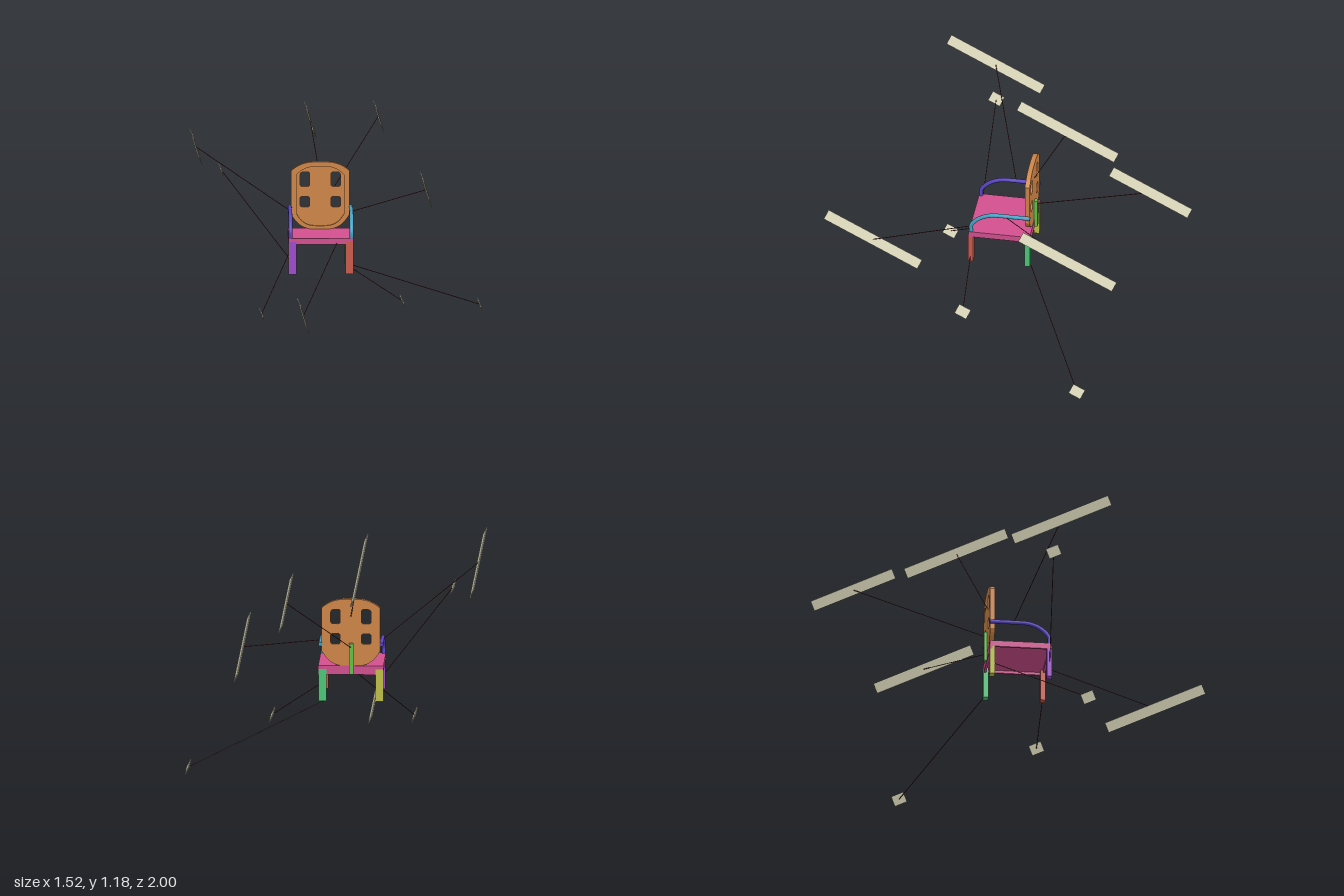
import * as THREE from 'three';

const CX = -0.082; // chair centre line
const V = (a) => new THREE.Vector3(...a);

function add(parent, name, geometry, color) {
  const mesh = new THREE.Mesh(geometry, new THREE.MeshStandardMaterial({ color }));
  mesh.name = name;
  parent.add(mesh);
  return mesh;
}

// Box given by its low and high corners
function block(parent, name, lo, hi, color) {
  const size = hi.map((h, i) => h - lo[i]);
  const mesh = add(parent, name, new THREE.BoxGeometry(...size), color);
  mesh.position.set(...hi.map((h, i) => (h + lo[i]) / 2));
  return mesh;
}

// Straight sides with bowed top and bottom; half width, side heights, bow tips
function backOutline(Type, w, bottom, low, high, top) {
  const s = new Type();
  s.moveTo(-w, low);
  s.bezierCurveTo(-w * 0.72, bottom, -w * 0.4, bottom, 0, bottom);
  s.bezierCurveTo(w * 0.4, bottom, w * 0.72, bottom, w, low);
  s.lineTo(w, high);
  s.bezierCurveTo(w * 0.65, top, w * 0.35, top, 0, top);
  s.bezierCurveTo(-w * 0.35, top, -w * 0.65, top, -w, high);
  s.closePath();
  return s;
}

// Rounded window; the outer top corner is cut more deeply
function windowHole(side, y0, y1, cut) {
  const [a, b, r] = [0.055 * side, 0.104 * side, 0.012];
  const p = new THREE.Path();
  p.moveTo(a + r * side, y0);
  p.lineTo(b - r * side, y0);
  p.quadraticCurveTo(b, y0, b, y0 + r);
  p.lineTo(b, y1 - cut);
  p.quadraticCurveTo(b, y1, b - cut * side, y1);
  p.lineTo(a + r * side, y1);
  p.quadraticCurveTo(a, y1, a, y1 - r);
  p.lineTo(a, y0 + r);
  p.quadraticCurveTo(a, y0, a + r * side, y0);
  return p;
}

function buildBack(parent) {
  const back = new THREE.Group();
  back.name = 'back';
  back.position.set(CX, 0, -0.122);
  parent.add(back);
  const color = 0xd08648;
  const extrude = (s, depth) => new THREE.ExtrudeGeometry(s, { depth, bevelEnabled: false, curveSegments: 12 });
  // recessed panel with four windows
  const panel = backOutline(THREE.Shape, 0.151, 0.5, 0.58, 0.805, 0.852);
  for (const side of [-1, 1]) {
    panel.holes.push(windowHole(side, 0.722, 0.798, 0.02), windowHole(side, 0.615, 0.67, 0.012));
  }
  add(back, 'backPanel', extrude(panel, 0.015), color);
  // raised rim
  const rim = backOutline(THREE.Shape, 0.151, 0.5, 0.58, 0.805, 0.852);
  rim.holes.push(backOutline(THREE.Path, 0.122, 0.518, 0.58, 0.785, 0.828));
  add(back, 'backRim', extrude(rim, 0.025), color);
}

function buildSeat(parent) {
  const seat = new THREE.Group();
  seat.name = 'seat';
  parent.add(seat);
  const color = 0xd2508f;
  const [x0, x1, z0, z1, t] = [-0.25, 0.086, -0.124, 0.194, 0.012];
  block(seat, 'seatTop', [x0, 0.484, z0], [x1, 0.502, z1], color);
  // hollow underside framed by aprons, deeper at the rear
  block(seat, 'frontApron', [x0, 0.47, z1 - t], [x1, 0.484, z1], color);
  block(seat, 'rearApron', [x0, 0.455, z0], [x1, 0.484, z0 + t], color);
  block(seat, 'rightApron', [x0, 0.47, z0 + t], [x0 + t, 0.484, z1 - t], color);
  block(seat, 'leftApron', [x1 - t, 0.47, z0 + t], [x1, 0.484, z1 - t], color);
}

function buildArm(parent, name, x, color) {
  const path = new THREE.CurvePath();
  const points = [[0.183, 0.5], [0.183, 0.535], [0.165, 0.563], [0.125, 0.594], [0.075, 0.611],
    [0.02, 0.614], [-0.05, 0.614], [-0.125, 0.614]];
  const curve = new THREE.CatmullRomCurve3(points.map(([z, y]) => new THREE.Vector3(x, y, z)));
  add(parent, name, new THREE.TubeGeometry(curve, 40, 0.0105, 12), color);
  // closed ends
  const cap = add(parent, name + 'End', new THREE.CircleGeometry(0.0105, 12), color);
  cap.position.set(x, 0.614, -0.125);
  cap.rotation.y = Math.PI;
}

// Blank tag on a thin leader line that ends on a part of the chair
function buildTag(parent, length, at, to) {
  const tag = new THREE.Group();
  tag.name = 'tag';
  parent.add(tag);
  const u = V([0.05, -0.232, -0.515]).normalize();
  const n = u.clone().cross(V([-0.02, 0.046, -0.02])).normalize();
  const up = n.clone().cross(u);
  const plate = add(tag, 'tagPlate', new THREE.BoxGeometry(length, 0.054, 0.005), 0xdedabc);
  plate.quaternion.setFromRotationMatrix(new THREE.Matrix4().makeBasis(u, up, n));
  plate.position.set(...at);
  const line = new THREE.LineCurve3(V(at), V(to));
  add(tag, 'leaderLine', new THREE.TubeGeometry(line, 1, 0.002, 6), 0x5a2020);
}

export function createModel() {
  const model = new THREE.Group();
  model.name = 'taggedChair';
  const chair = new THREE.Group();
  chair.name = 'chair';
  model.add(chair);

  buildSeat(chair);
  buildBack(chair);
  buildArm(chair, 'leftArm', 0.075, 0x46a2c4);
  buildArm(chair, 'rightArm', -0.239, 0x5a46c4);

  // legs
  const legs = [
    ['frontLeftLeg', 0.043, 0.17, 0xcc5a4c], ['frontRightLeg', -0.25, 0.17, 0xa04cd0],
    ['rearLeftLeg', 0.043, -0.126, 0x4cc878], ['rearRightLeg', -0.25, -0.126, 0xc0c048],
  ];
  for (const [name, x, z, color] of legs) {
    block(chair, name, [x + 0.001, 0.316, z], [x + 0.042, 0.484, z + 0.027], color);
  }

  // upright joining the back to the seat
  block(chair, 'backConnector', [CX - 0.014, 0.46, -0.139], [CX + 0.01, 0.62, -0.121], 0x62c448);

  // tags: plate length, plate centre, point on the chair
  const tags = [
    [0.546, [-0.726, 0.982, 0.19], [-0.24, 0.615, 0]],
    [0.568, [-0.132, 1.04, -0.287], [CX, 0.76, -0.12]],
    [0.458, [0.226, 0.973, -0.78], [CX, 0.6, -0.135]],
    [0.546, [0.466, 0.655, -0.387], [0.078, 0.61, 0]],
    [0.546, [-0.18, 0.192, 0.738], [0, 0.478, 0.19]],
    [0.068, [-0.597, 0.859, 0.165], [-0.24, 0.39, 0.185]],
    [0.068, [0.336, 0.174, 0.182], [0.07, 0.35, 0.185]],
    [0.068, [-0.39, 0.139, 0.368], [-0.24, 0.38, -0.11]],
    [0.068, [0.743, 0.04, -0.483], [0.05, 0.32, -0.12]],
  ];
  for (const tag of tags) buildTag(model, ...tag);
  return model;
}
